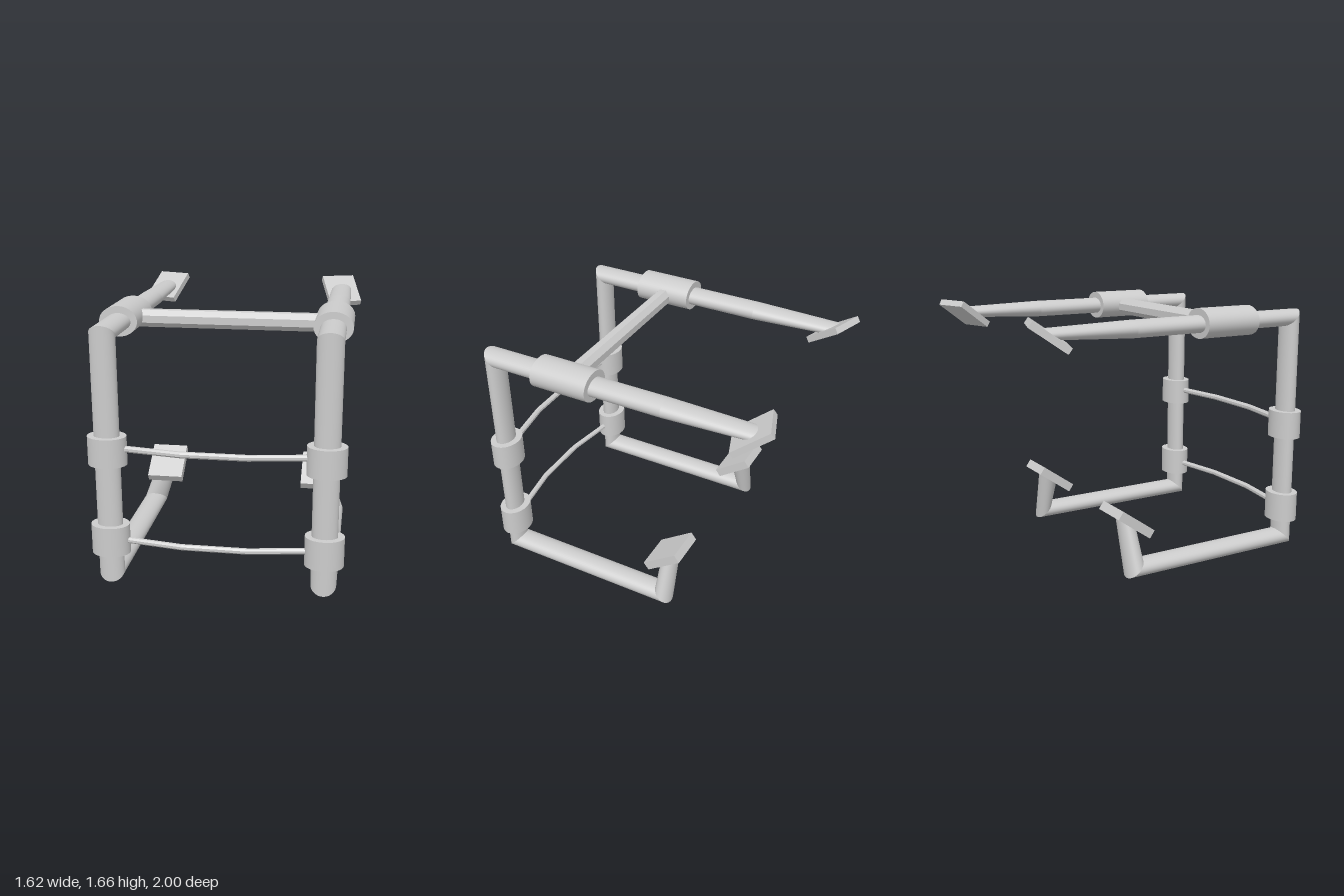
import * as THREE from 'three';

const material = new THREE.MeshStandardMaterial({ color: 0xcccccc, side: THREE.DoubleSide });
const flatMaterial = new THREE.MeshStandardMaterial({ color: 0xcccccc, flatShading: true, side: THREE.DoubleSide });

// Skin between two elliptical rings { c: centre, u, v: half axes }
function segment(a, b, sides, phase = 0) {
  const pos = [], index = [];
  for (const ring of [a, b]) {
    for (let j = 0; j < sides; j++) {
      const t = (j / sides) * Math.PI * 2 + phase;
      for (let k = 0; k < 3; k++) {
        pos.push(ring.c[k] + Math.cos(t) * ring.u[k] + Math.sin(t) * ring.v[k]);
      }
    }
  }
  for (let j = 0; j < sides; j++) {
    const n = (j + 1) % sides;
    index.push(j, n, sides + j, n, sides + n, sides + j);
  }
  const geometry = new THREE.BufferGeometry();
  geometry.setAttribute('position', new THREE.Float32BufferAttribute(pos, 3));
  geometry.setIndex(index);
  geometry.computeVertexNormals();
  return geometry;
}

// One mesh per straight run, so the mitred corners stay sharp
function sweep(name, rings, sides, mat, phase) {
  const group = new THREE.Group();
  group.name = name;
  for (let i = 0; i < rings.length - 1; i++) {
    const mesh = new THREE.Mesh(segment(rings[i], rings[i + 1], sides, phase), mat);
    mesh.name = `${name}Run${i + 1}`;
    group.add(mesh);
  }
  return group;
}

// Oval collar around a tube
function sleeve(name, length) {
  const geometry = new THREE.CylinderGeometry(1, 1, length, 48);
  geometry.scale(0.12, 1, 0.095);
  const mesh = new THREE.Mesh(geometry, material);
  mesh.name = name;
  return mesh;
}

function pad(name, w, h, d) {
  const mesh = new THREE.Mesh(new THREE.BoxGeometry(w, h, d), flatMaterial);
  mesh.name = name;
  mesh.rotation.order = 'YXZ';
  return mesh;
}

function createSide(s) {
  const side = new THREE.Group();
  side.name = s > 0 ? 'leftSide' : 'rightSide';
  const ring = (x, y, z, rx, vy, vz) => ({ c: [s * x, y, z], u: [-rx, 0, 0], v: [0, vy, vz] });

  // Bent oval tube: rear leg, base, upright, upper arm, tapered arm tip
  const r = 0.055;
  side.add(sweep('frameTube', [
    ring(0.56, 0.35, -0.285, 0.075, 0.043, -0.06),
    ring(0.66, r, -0.28, 0.079, -r, -r),
    ring(0.66, r, 0.908, 0.079, -r, r),
    ring(0.66, 1.567, 0.908, 0.079, r, r),
    ring(0.66, 1.567, -0.3, 0.079, r, 0),
    ring(0.66, 1.572, -0.86, 0.07, 0.035, -0.045),
  ], 40, material));

  // Collars on the upright and the arm
  const lower = sleeve('lowerSleeve', 0.19);
  lower.position.set(s * 0.66, 0.28, 0.905);
  const middle = sleeve('middleSleeve', 0.18);
  middle.position.set(s * 0.66, 0.855, 0.905);
  const upper = sleeve('upperSleeve', 0.385);
  upper.rotation.x = Math.PI / 2;
  upper.position.set(s * 0.66, 1.57, 0.372);
  side.add(lower, middle, upper);

  // Tilted end plates
  const upperPad = pad('upperPad', 0.235, 0.042, 0.27);
  upperPad.position.set(s * 0.658, 1.565, -0.846);
  upperPad.rotation.set(0.61, s * 0.33, 0);
  const lowerPad = pad('lowerPad', 0.25, 0.06, 0.28);
  lowerPad.position.set(s * 0.56, 0.343, -0.272);
  lowerPad.rotation.x = 0.62;
  side.add(upperPad, lowerPad);
  return side;
}

// Eight-sided bar through [x, z] points at height y
function crossbar(name, y, radius, points) {
  const rings = points.map(([x, z]) => ({ c: [x, y, z], u: [0, radius, 0], v: [0, 0, radius] }));
  return sweep(name, rings, 8, flatMaterial, Math.PI / 8);
}

export function createModel() {
  const model = new THREE.Group();
  model.name = 'tubularFrame';
  model.add(createSide(1), createSide(-1));

  // Straight bar between the arms and bowed rods between the uprights
  model.add(crossbar('topCrossbar', 1.56, 0.059, [[-0.6, 0.367], [0.6, 0.367]]));
  const bow = [[-0.6, 0.908], [-0.2, 0.97], [0.2, 0.97], [0.6, 0.908]];
  model.add(crossbar('middleRod', 0.868, 0.02, bow));
  model.add(crossbar('lowerRod', 0.272, 0.019, bow));
  return model;
}
